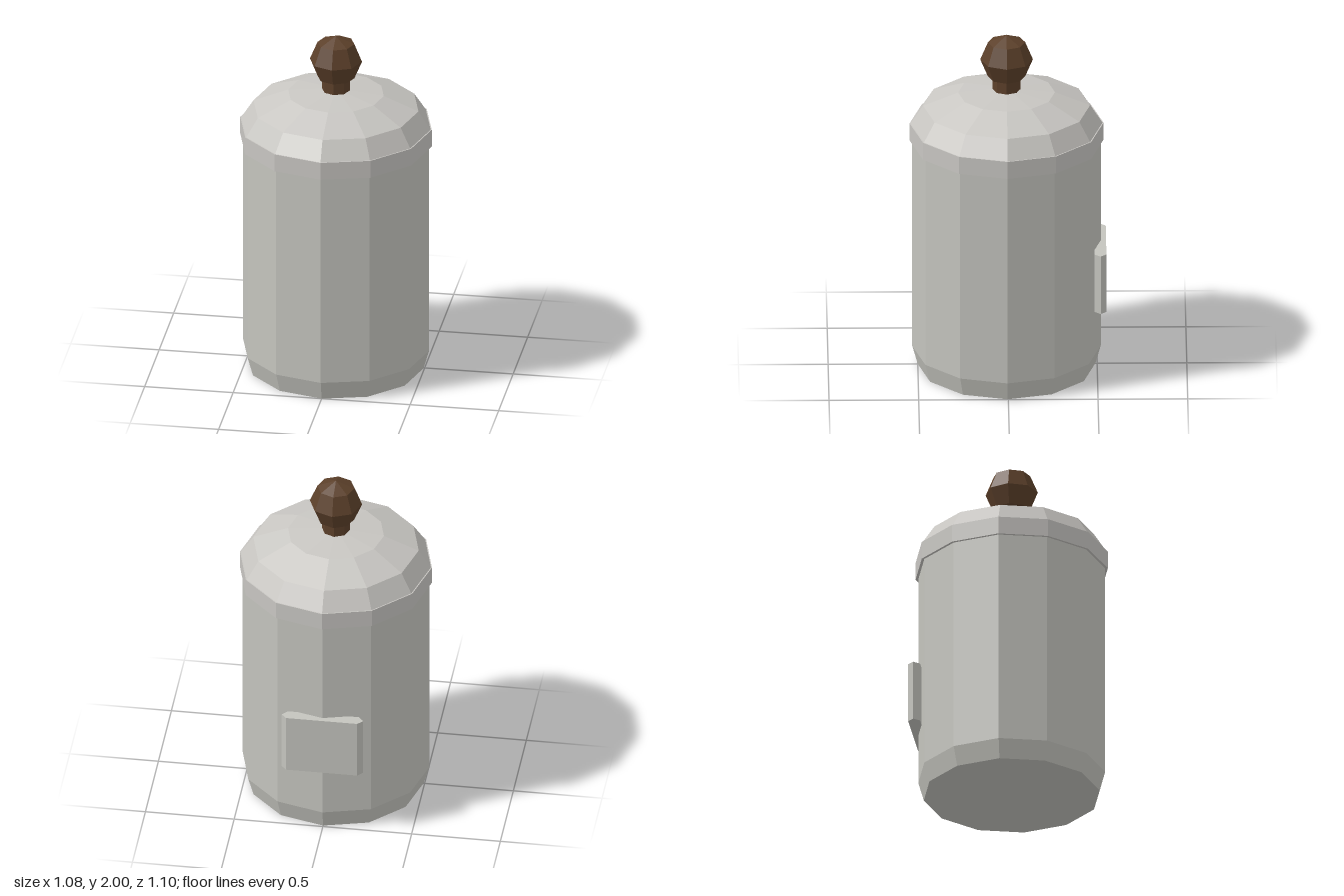
import * as THREE from 'three';

const metal = new THREE.MeshStandardMaterial({ color: 0xc4c4be, flatShading: true });
metal.name = 'brushed metal';
const lidMetal = new THREE.MeshStandardMaterial({ color: 0xc8c6c2, flatShading: true });
lidMetal.name = 'lid metal';
const wood = new THREE.MeshStandardMaterial({ color: 0x5c402a, flatShading: true });
wood.name = 'dark wood';

const points = (list) => list.map(([a, b]) => new THREE.Vector2(a, b));

export function createModel() {
  const model = new THREE.Group();
  model.name = 'canister';

  const add = (name, geometry, material, y = 0, z = 0.005) => {
    const mesh = new THREE.Mesh(geometry, material);
    mesh.name = name;
    mesh.position.set(0, y, z);
    model.add(mesh);
    return mesh;
  };
  const lathe = (profile) => new THREE.LatheGeometry(points(profile), 12);

  // Twelve-sided body with a bevelled foot
  add('body', lathe([[0, 0], [0.495, 0], [0.526, 0.11], [0.526, 1.4]]), metal);

  // Overhanging rim and faceted dome
  add('lidRim', lathe([[0.5, 1.362], [0.541, 1.362], [0.541, 1.465], [0.5, 1.465]]), lidMetal);
  add('lidDome', lathe([[0.535, 1.465], [0.466, 1.572], [0.27, 1.652], [0, 1.68]]), lidMetal);

  // Wooden knob on a short stem
  add('knobStem', new THREE.CylinderGeometry(0.078, 0.078, 0.1, 8), wood, 1.705);
  add('knob', new THREE.SphereGeometry(0.147, 8, 4), wood, 1.853);

  // Plate on the back with pointed side edges, extruded upwards
  const outline = new THREE.Shape(points([
    [-0.2, 0.55], [-0.23, 0.518], [-0.2, 0.483], [0.2, 0.483], [0.23, 0.518], [0.2, 0.55],
  ]));
  const plate = new THREE.ExtrudeGeometry(outline, { depth: 0.35, bevelEnabled: false });
  plate.rotateX(-Math.PI / 2);
  add('backPlate', plate, metal, 0.4, 0);

  return model;
}
